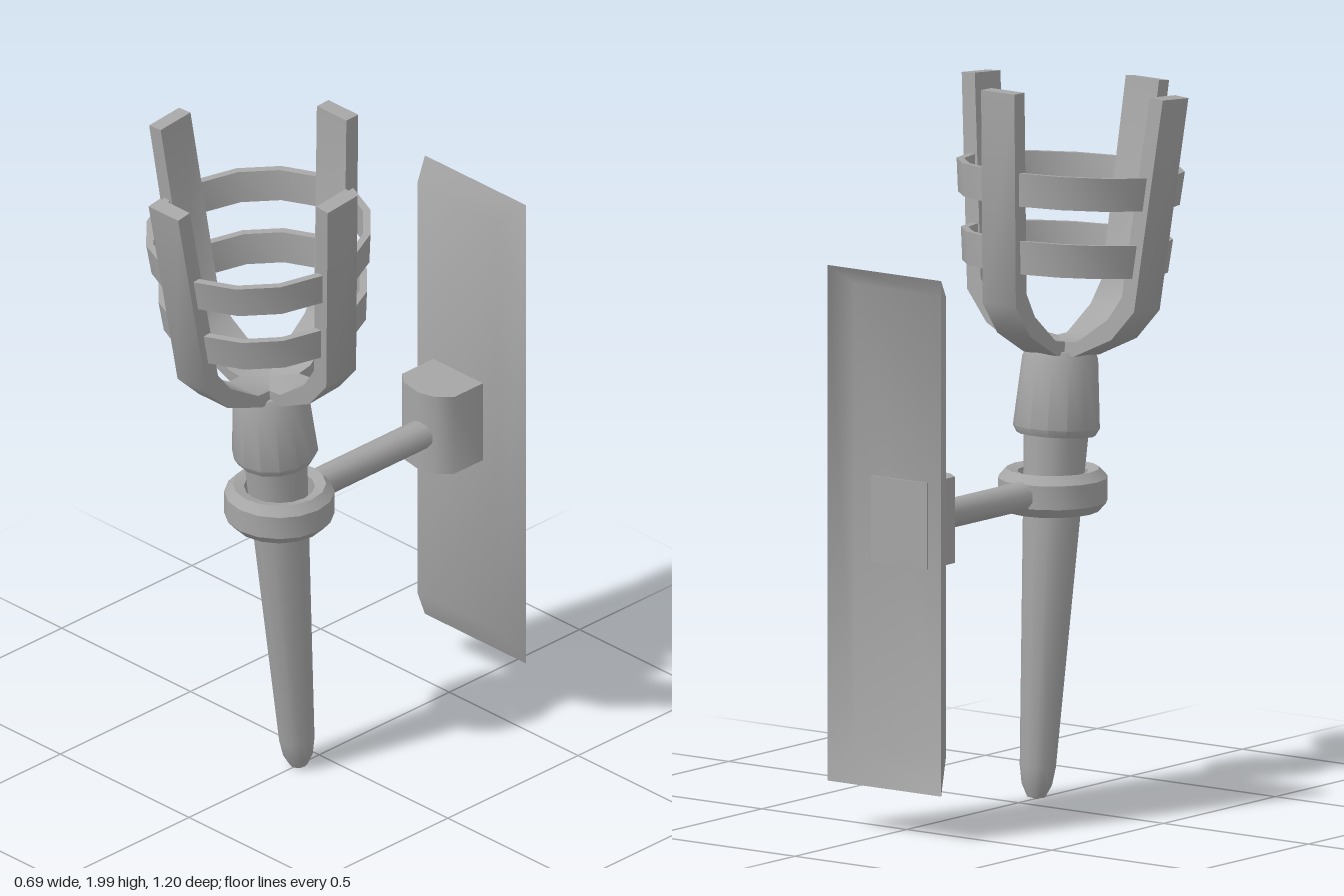
import * as THREE from 'three';
import { toCreasedNormals } from 'three/addons/utils/BufferGeometryUtils.js';

const V = (pts) => pts.map(([x, y]) => new THREE.Vector2(x, y));

export function createModel() {
  const model = new THREE.Group();
  model.name = 'wallTorch';
  // Double-sided because the wall plate is an open shell
  const iron = new THREE.MeshStandardMaterial({ color: 0xa6a6a6, side: THREE.DoubleSide });
  iron.name = 'grey iron';

  function add(parent, name, geometry, crease = 0.7) {
    const mesh = new THREE.Mesh(toCreasedNormals(geometry, crease), iron);
    mesh.name = name;
    parent.add(mesh);
    return mesh;
  }
  const lathe = (pts, sides) => new THREE.LatheGeometry(V(pts), sides);
  function extrude(pts, depth) {
    return new THREE.ExtrudeGeometry(new THREE.Shape(V(pts)), { depth, bevelEnabled: false });
  }

  // Torch leaning forward from its tip
  const torch = new THREE.Group();
  torch.name = 'torch';
  torch.position.set(0, 0.008, 0.078);
  torch.rotation.x = 0.089;
  model.add(torch);

  add(torch, 'handle', lathe([
    [0, 0], [0.025, 0.005], [0.042, 0.04], [0.05, 0.09], [0.08, 0.8], [0.09, 1.02],
  ], 12));
  add(torch, 'collar', lathe([
    [0, 1.005], [0.108, 1.005], [0.119, 1.025], [0.104, 1.215], [0.094, 1.24], [0, 1.24],
  ], 14));

  // Four bent prongs meeting in a cross on top of the collar
  const prongProfile = [
    [0, 1.225], [0.09, 1.23], [0.215, 1.29], [0.288, 1.375], [0.347, 1.965],
    [0.302, 1.968], [0.243, 1.41], [0.2, 1.345], [0.1, 1.272], [0, 1.262],
  ];
  for (let i = 0; i < 4; i++) {
    const prong = extrude(prongProfile, 0.115).translate(0, 0, -0.0575);
    add(torch, 'prong', prong, 0.7).rotation.y = (i * Math.PI) / 2;
  }

  // Two hoops round the basket
  for (const [y, r] of [[1.7, 0.31], [1.512, 0.288]]) {
    const h = 0.046, t = 0.021;
    const hoop = lathe([
      [r - 0.006, y - h], [r + 0.003, y + h], [r + 0.003 - t, y + h], [r - 0.006 - t, y - h], [r - 0.006, y - h],
    ], 16).rotateY(Math.PI / 16);
    add(torch, 'hoop', hoop);
  }

  // Level holding ring with bevelled rims
  add(model, 'holdingRing', lathe([
    [0.097, 0.808], [0.128, 0.8], [0.151, 0.826], [0.151, 0.892], [0.128, 0.917], [0.097, 0.909], [0.097, 0.808],
  ], 16)).position.z = 0.153;

  // Arm from ring to wall
  const arm = new THREE.CylinderGeometry(0.042, 0.042, 0.43, 10).rotateX(Math.PI / 2);
  add(model, 'arm', arm).position.set(0, 0.858, -0.185);

  // Mounting block with a rounded front, its back just through the plate
  const block = extrude([
    [-0.108, 0.549], [-0.108, 0.425], [-0.07, 0.395], [0, 0.383], [0.05, 0.398], [0.085, 0.435], [0.085, 0.549],
  ], 0.24).rotateX(-Math.PI / 2);
  add(model, 'mountingBlock', block, 0.8).position.y = 0.75;

  // Wall plate: a shallow open-backed pan with softly shaded sloping edges
  const plate = new THREE.BoxGeometry(0.392, 1.433, 0.055);
  plate.setIndex([...plate.index.array].slice(0, 30)); // drop the back face
  const p = plate.attributes.position;
  for (let i = 0; i < p.count; i++) {
    if (p.getZ(i) < 0) continue;
    p.setX(i, p.getX(i) > 0 ? 0.145 : -0.17);
    p.setY(i, p.getY(i) > 0 ? 0.662 : -0.618);
  }
  add(model, 'wallPlate', plate, Math.PI).position.set(0, 0.853, -0.5725);

  return model;
}
